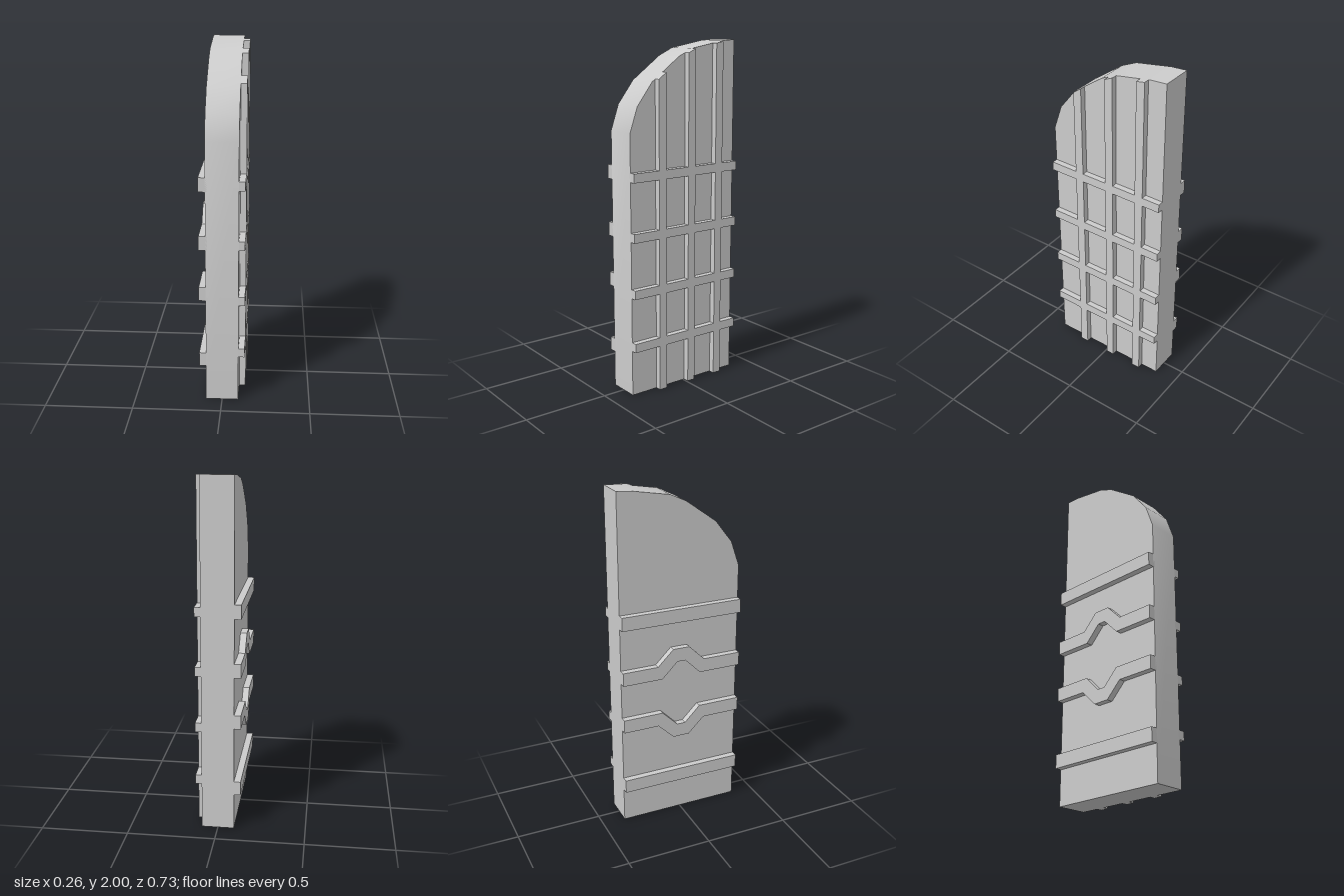
import * as THREE from 'three';
import { toCreasedNormals } from 'three/addons/utils/BufferGeometryUtils.js';

const HALF_Z = 0.365, FACE_X = 0.092, GRID_X = 0.127, BACK_X = -0.13;

// Curved top edge of the door leaf as [z, y], from the hinge side to the low side
const ARCH = [
  [-0.365, 2.0], [-0.27, 1.993], [-0.057, 1.955], [0.034, 1.913],
  [0.215, 1.783], [0.315, 1.655], [0.365, 1.512],
];

const material = new THREE.MeshStandardMaterial({ color: 0xcccccc });

// Height of the curved edge at a given z
function archHeight(z) {
  for (let i = 1; i < ARCH.length; i++) {
    const [z0, y0] = ARCH[i - 1], [z1, y1] = ARCH[i];
    if (z <= z1) return y0 + ((y1 - y0) * (z - z0)) / (z1 - z0);
  }
  return ARCH[ARCH.length - 1][1];
}

// Outline in (z, y), extruded from x0 to x1
function sidePanel(name, outline, x0, x1, crease = 0) {
  const shape = new THREE.Shape(outline.map(([z, y]) => new THREE.Vector2(z, y)));
  let geometry = new THREE.ExtrudeGeometry(shape, { depth: x1 - x0, bevelEnabled: false });
  geometry.rotateY(-Math.PI / 2).translate(x1, 0, 0);
  if (crease) geometry = toCreasedNormals(geometry, crease);
  const mesh = new THREE.Mesh(geometry, material);
  mesh.name = name;
  return mesh;
}

// Vertical strip from the ground up to the curved edge
function uprightOutline(z0, z1) {
  const inner = ARCH.filter(([z]) => z > z0 && z < z1);
  return [[z1, 0], [z1, archHeight(z1)], ...inner.reverse(), [z0, archHeight(z0)], [z0, 0]];
}

const barOutline = (y0, y1) => [[-HALF_Z, y0], [HALF_Z, y0], [HALF_Z, y1], [-HALF_Z, y1]];

// Bar with a trapezoid kink in the middle; dir is 1 for up and -1 for down
function kinkedOutline(yMid, dir) {
  const half = 0.04, rise = 0.093, shift = -0.008;
  const edge = (y, base, tip) => [
    [-HALF_Z, y], [shift - base, y], [shift - tip, y + dir * rise],
    [shift + tip, y + dir * rise], [shift + base, y], [HALF_Z, y],
  ];
  const outer = edge(yMid + dir * half, 0.145, 0.05);
  const inner = edge(yMid - dir * half, 0.118, 0.025);
  return [...outer, ...inner.reverse()];
}

export function createModel() {
  const model = new THREE.Group();
  model.name = 'door';

  // Solid leaf
  model.add(sidePanel('doorLeaf', uprightOutline(-HALF_Z, HALF_Z), -FACE_X, FACE_X, 0.4));

  // Lattice on the outer face
  const lattice = new THREE.Group();
  lattice.name = 'lattice';
  for (const z of [-0.232, -0.034, 0.171])
    lattice.add(sidePanel('latticeUpright', uprightOutline(z - 0.025, z + 0.025), FACE_X - 0.01, GRID_X));
  for (const y of [0.295, 0.61, 0.935, 1.272])
    lattice.add(sidePanel('latticeCrossbar', barOutline(y - 0.026, y + 0.026), FACE_X - 0.01, GRID_X));
  model.add(lattice);

  // Straight and kinked braces on the inner face
  const braces = new THREE.Group();
  braces.name = 'braces';
  for (const y of [0.25, 1.278])
    braces.add(sidePanel('straightBrace', barOutline(y - 0.04, y + 0.04), BACK_X, -FACE_X + 0.01));
  braces.add(sidePanel('lowerKinkedBrace', kinkedOutline(0.65, -1), BACK_X, -FACE_X + 0.01));
  braces.add(sidePanel('upperKinkedBrace', kinkedOutline(0.947, 1), BACK_X, -FACE_X + 0.01));
  model.add(braces);

  return model;
}
